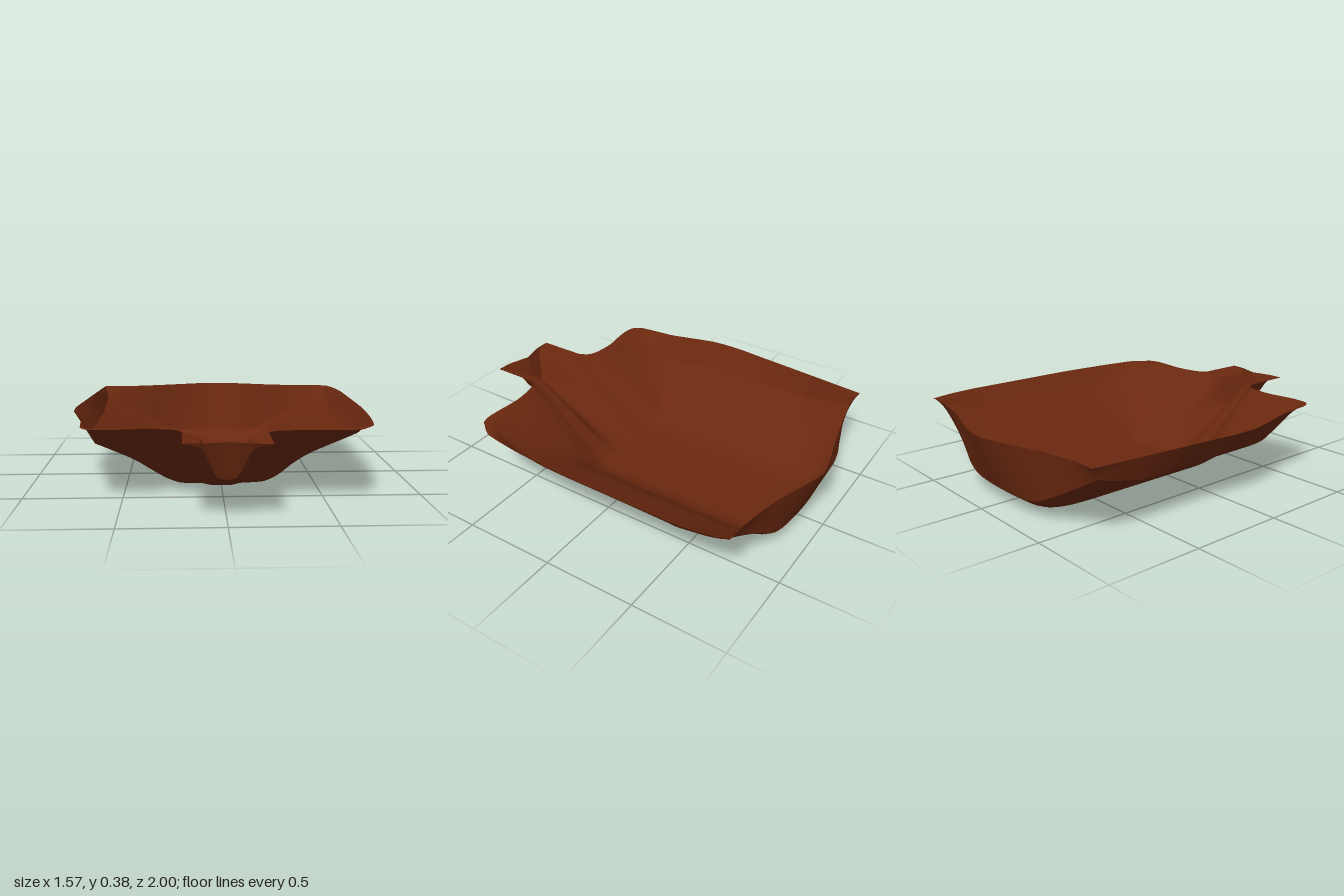
import * as THREE from 'three';
import { toCreasedNormals } from 'three/addons/utils/BufferGeometryUtils.js';

const { lerp, clamp } = THREE.MathUtils;
const RIM = 0.375;

// Smooth interpolation through [input, output] pairs, without overshoot
function along(points, v) {
  const last = points.length - 1;
  if (v <= points[0][0]) return points[0][1];
  if (v >= points[last][0]) return points[last][1];
  const secant = (k) => (points[k + 1][1] - points[k][1]) / (points[k + 1][0] - points[k][0]);
  const slope = (k) => {
    if (k === 0) return secant(0);
    if (k === last) return secant(last - 1);
    const a = secant(k - 1), b = secant(k);
    return a * b <= 0 ? 0 : 2 * a * b / (a + b);
  };
  let i = 0;
  while (v > points[i + 1][0]) i++;
  const h = points[i + 1][0] - points[i][0], t = (v - points[i][0]) / h, u = 1 - t;
  return u * u * (1 + 2 * t) * points[i][1] + t * t * (3 - 2 * t) * points[i + 1][1]
    + h * t * u * (u * slope(i) - t * slope(i + 1));
}

// Rim outline from above: half widths by z, back and front edges by x
const LEFT = [[-0.845, 0.74], [-0.7, 0.772], [-0.55, 0.785], [0, 0.785], [0.3, 0.768], [0.5, 0.745], [0.6, 0.725], [0.66, 0.7]];
const RIGHT = [[-0.86, 0.71], [-0.6, 0.735], [-0.2, 0.772], [0, 0.788], [0.1, 0.784], [0.2, 0.763], [0.3, 0.735], [0.4, 0.71], [0.5, 0.7], [0.6, 0.69]];
const BACK = [[-0.74, -0.86], [-0.6, -0.855], [-0.4, -0.89], [-0.2, -0.953], [-0.1, -0.985], [0, -1],
  [0.1, -0.988], [0.2, -0.958], [0.4, -0.888], [0.6, -0.852], [0.74, -0.845]];
const FRONT = [[-0.74, 0.59], [-0.71, 0.635], [-0.67, 0.655], [-0.6, 0.66], [-0.4, 0.64], [-0.3, 0.648], [-0.25, 0.662], [-0.22, 0.685], [-0.2, 0.73],
  [0.2, 0.75], [0.22, 0.725], [0.27, 0.705], [0.4, 0.688], [0.6, 0.7], [0.67, 0.685], [0.71, 0.65], [0.74, 0.59]];

// Foot of the sloping walls: flange width by z, crease of the back wall by x
const LEFT_FLANGE = [[-0.845, 0.03], [-0.5, 0.08], [0, 0.085], [0.4, 0.075], [0.66, 0.05]];
const RIGHT_FLANGE = [[-0.86, 0.02], [-0.4, 0.055], [0, 0.088], [0.4, 0.075], [0.6, 0.06]];
const CREASE = [[-0.72, -0.81], [-0.5, -0.835], [-0.3, -0.87], [0, -0.89], [0.3, -0.865], [0.5, -0.82], [0.72, -0.795]];

// Heights: across the bed, in from the back crease, up the front, down the channel, up its banks
const BED = [[-0.7, 0.25], [-0.55, 0.18], [-0.45, 0.125], [-0.38, 0.075], [-0.33, 0.04], [-0.27, 0.013], [-0.2, 0],
  [0.2, 0], [0.27, 0.015], [0.33, 0.05], [0.38, 0.1], [0.45, 0.155], [0.55, 0.21], [0.7, 0.285]];
const BACK_LIFT = [[0, 0.08], [0.05, 0.042], [0.1, 0.02], [0.2, 0.004], [0.3, 0]];
const CORNER_LIFT = [[0.45, 0], [0.6, 0.03], [0.72, 0.07]];
const FRONT_RISE = [[0, 0], [0.1, 0.02], [0.25, 0.075], [0.5, 0.18], [0.75, 0.28], [1, RIM]];
const CHANNEL = [[0.28, 0], [0.32, 0.015], [0.38, 0.045], [0.5, 0.095], [0.6, 0.145], [0.7, 0.183], [0.75, 0.19]];
const CHANNEL_BANK = [[0, 0], [0.04, 0.05], [0.12, 0.88], [0.2, 1]];

// Ground height inside the sloping walls; xn is the column's nominal x
function ground(x, xn, z) {
  const ax = Math.abs(xn);
  const foot = along([[0, 0.24], [0.2, 0.22], [0.35, 0.12], [0.74, 0.12]], ax);
  const bank = along(FRONT_RISE, (z - foot) / (along(FRONT, xn) - foot));
  const front = lerp(along(CHANNEL, z), bank, along(CHANNEL_BANK, ax));
  const bed = along(BED, x);
  const inset = z - along(CREASE, xn);
  const corner = along(CORNER_LIFT, ax) * clamp(1 - inset / 0.25, 0, 1);
  const back = bed + along(BACK_LIFT, inset) * (1 - bed / 0.3) + corner;
  return Math.min(RIM, Math.cbrt(back ** 3 + front ** 3));
}

// Surface through rows of points; faces up when rows run to +z and columns to +x
function sheet(name, rows, cols, point, material) {
  const pos = [], index = [];
  for (let i = 0; i <= rows; i++) {
    for (let j = 0; j <= cols; j++) {
      pos.push(...point(i, j));
      if (i < rows && j < cols) {
        const a = i * (cols + 1) + j, b = a + cols + 1;
        index.push(a, b, a + 1, b, b + 1, a + 1);
      }
    }
  }
  const geo = new THREE.BufferGeometry();
  geo.setAttribute('position', new THREE.Float32BufferAttribute(pos, 3));
  geo.setIndex(index);
  const mesh = new THREE.Mesh(toCreasedNormals(geo, 0.5), material);
  mesh.name = name;
  return mesh;
}

export function createModel() {
  const group = new THREE.Group();
  group.name = 'basin';
  const material = new THREE.MeshStandardMaterial({ color: 0x6a280f, side: THREE.DoubleSide });
  const columns = Array.from({ length: 75 }, (_, i) => (i - 37) / 50);

  // Main bed; the first rows form the back wall, the outer columns the side flanges
  const wallRows = 6, rows = 76;
  group.add(sheet('bed', rows, columns.length - 1, (i, j) => {
    const xn = columns[j], ax = Math.abs(xn);
    const crease = along(CREASE, xn);
    const wall = Math.max(0, 1 - i / wallRows);
    const z = i < wallRows ? lerp(crease, along(BACK, xn), wall)
      : lerp(crease, along(FRONT, xn), (i - wallRows) / (rows - wallRows));
    const width = along(xn < 0 ? RIGHT : LEFT, z);
    const inner = width - along(xn < 0 ? RIGHT_FLANGE : LEFT_FLANGE, z);
    const flange = clamp((ax - 0.66) / 0.08, 0, 1);
    const foot = ax <= 0.2 ? ax : lerp(0.2, inner, Math.min(1, (ax - 0.2) / 0.46));
    const side = Math.sign(xn);
    const y = ground(side * foot, xn, Math.max(z, crease));
    return [side * lerp(foot, width, flange), lerp(y, RIM, Math.max(flange, wall)), z];
  }, material));

  // Outlet trough running forward from the bed
  const mouth = columns.filter((x) => Math.abs(x) < 0.201);
  const mouthTop = (x) => 0.955 + 0.03 * Math.min(1, Math.abs(x) / 0.12) + 0.075 * x * (x > 0 ? 1 : 0.2);
  const mouthEnd = (x) => {
    const y = ground(x, x, 0.9);
    return [x, y, lerp(0.9, mouthTop(x), (y - 0.19) / (RIM - 0.19))];
  };
  group.add(sheet('outletTrough', 10, mouth.length - 1, (i, j) => {
    const x = mouth[j];
    const z = lerp(along(FRONT, x), mouthEnd(x)[2], i / 10);
    return [x, ground(x, x, z), z];
  }, material));

  // Leaning wall closing the trough
  group.add(sheet('outletEndWall', 4, mouth.length - 1, (i, j) => {
    const [x, y, z] = mouthEnd(mouth[j]);
    return [x, lerp(y, RIM, i / 4), lerp(z, mouthTop(x), i / 4)];
  }, material));

  return group;
}
